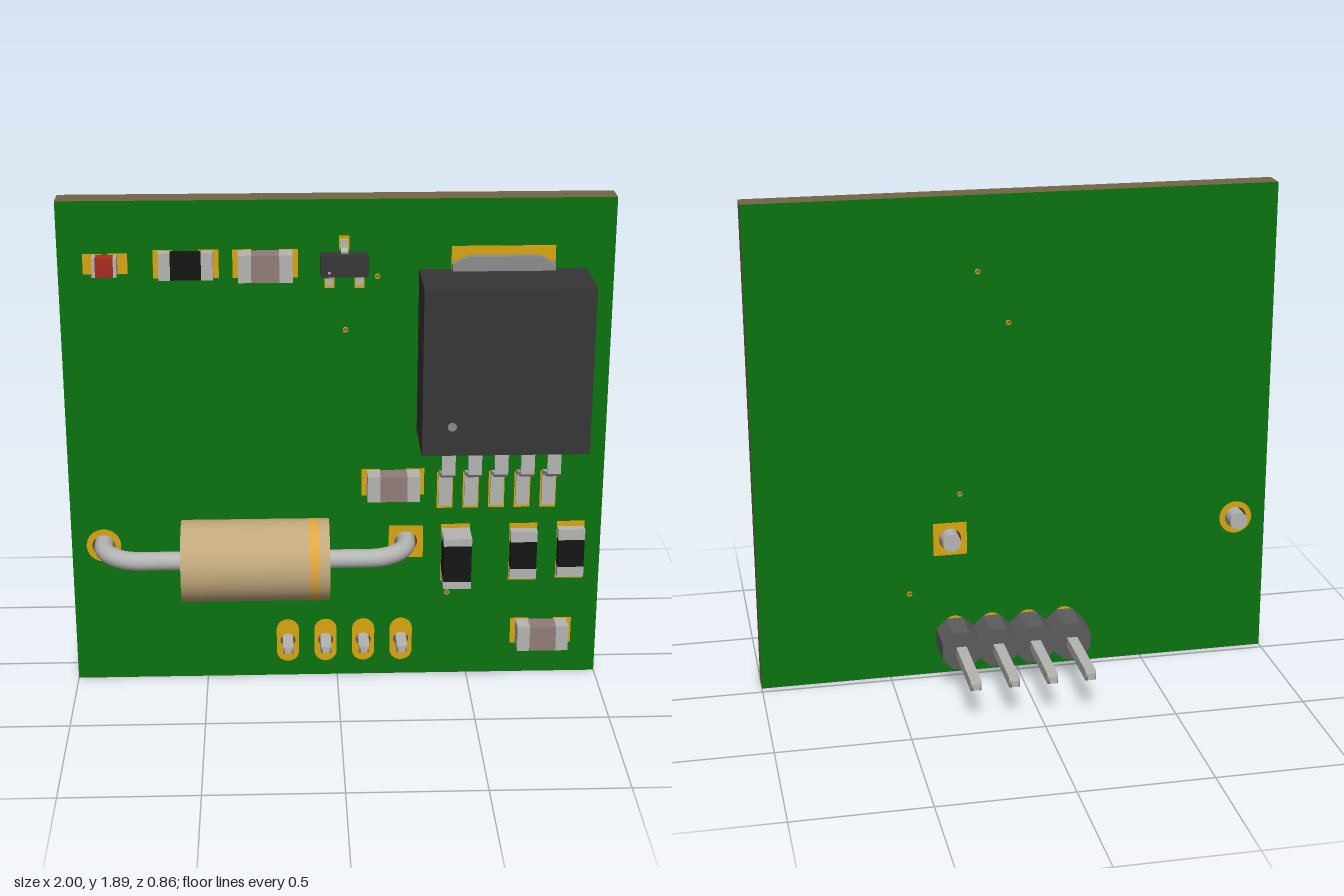
import * as THREE from 'three';

const mat = (color) => new THREE.MeshStandardMaterial({ color });
const GREEN = mat(0x0c730f), EDGE = mat(0x746645), GOLD = mat(0xdaa50f), METAL = mat(0xb4b4b2),
  TAB = mat(0x8c8c8c), BLACK = mat(0x151515), CHIP = mat(0x363638), BROWN = mat(0x917c78),
  RED = mat(0xa82c22), TAN = mat(0xc2a87c), BAND = mat(0xe0a640), PLASTIC = mat(0x5c5c5c);

const BACK = 0.03, FACE = 0.125, PAD = 0.004;

export function createModel() {
  const root = new THREE.Group();

  const add = (name, geo, material, x = 0, y = 0, z = 0, parent = root) => {
    const m = new THREE.Mesh(geo, material);
    m.name = name;
    m.position.set(x, y, z);
    parent.add(m);
    return m;
  };
  // box given by its centre in x/y and its z range
  const block = (name, material, x, y, w, h, z0, z1, parent = root) =>
    add(name, new THREE.BoxGeometry(w, h, z1 - z0), material, x, y, (z0 + z1) / 2, parent);
  const circle = (x, y, r) => new THREE.Path().absarc(x, y, r, 0, Math.PI * 2, true);
  const polygon = (pts) => new THREE.Shape(pts.map(([x, y]) => new THREE.Vector2(x, y)));
  const extrude = (shape, depth) =>
    new THREE.ExtrudeGeometry(shape, { depth, bevelEnabled: false, curveSegments: 16 });
  const rect = (w, h) => polygon([[-w / 2, -h / 2], [w / 2, -h / 2], [w / 2, h / 2], [-w / 2, h / 2]]);

  const pinXs = [-0.19, -0.045, 0.1, 0.245], pinY = 0.15;
  const leadXs = [-0.88, 0.26], leadY = 0.56;
  const vias = [[0.145, 1.605], [0.03, 1.405], [0.22, 0.74], [0.42, 0.345]];

  // Board with drilled holes
  const boardShape = polygon([[-1, 0], [1, 0], [1, 1.89], [-1, 1.89]]);
  pinXs.forEach((x) => boardShape.holes.push(circle(x, pinY, 0.029)));
  leadXs.forEach((x) => boardShape.holes.push(circle(x, leadY, 0.043)));
  vias.forEach(([x, y]) => boardShape.holes.push(circle(x, y, 0.007)));
  add('board', extrude(boardShape, FACE - BACK), [GREEN, EDGE], 0, 0, BACK);

  // Plated pads on both sides of every drilled hole
  const plated = (name, shape, hole, x, y) => {
    shape.holes.push(circle(0, 0, hole));
    const geo = extrude(shape, PAD);
    add(name + 'Front', geo, GOLD, x, y, FACE);
    add(name + 'Back', geo, GOLD, x, y, BACK - PAD);
  };
  const disc = (r) => new THREE.Shape().absarc(0, 0, r, 0, Math.PI * 2, false);
  pinXs.forEach((x) => {
    const slot = new THREE.Shape();
    slot.absarc(0, 0.045, 0.043, 0, Math.PI, false);
    slot.absarc(0, -0.045, 0.043, Math.PI, Math.PI * 2, false);
    plated('pinPad', slot, 0.029, x, pinY);
  });
  plated('roundLeadPad', disc(0.065), 0.043, leadXs[0], leadY);
  plated('squareLeadPad', rect(0.13, 0.13), 0.043, leadXs[1], leadY);
  vias.forEach(([x, y]) => plated('via', disc(0.01), 0.007, x, y));

  // Axial diode: body, band and one bent lead through both holes
  const lying = (r, len, open = false) =>
    new THREE.CylinderGeometry(r, r, len, 40, 1, open).rotateZ(Math.PI / 2);
  const axisZ = 0.275;
  add('diodeBody', lying(0.152, 0.545), TAN, -0.3075, leadY, axisZ);
  add('diodeBand', lying(0.153, 0.035, true), BAND, -0.092, leadY, axisZ);
  const v = (x, z) => new THREE.Vector3(x, leadY, z);
  const lead = (x, dir, end) => {
    const path = new THREE.CurvePath();
    path.add(new THREE.LineCurve3(v(x, -0.02), v(x, 0.13)));
    path.add(new THREE.CubicBezierCurve3(v(x, 0.13), v(x, 0.21),
      v(x + dir * 0.065, axisZ), v(x + dir * 0.15, axisZ)));
    path.add(new THREE.LineCurve3(v(x + dir * 0.15, axisZ), v(end, axisZ)));
    add('diodeLead', new THREE.TubeGeometry(path, 48, 0.035, 18), METAL);
    add('diodeLeadEnd', new THREE.CircleGeometry(0.035, 18).rotateY(Math.PI), METAL, x, leadY, -0.02);
  };
  lead(leadXs[0], 1, -0.55);
  lead(leadXs[1], -1, -0.06);

  // Power regulator: package, tab, pads and five stepped pins
  block('regulatorBody', CHIP, 0.597, 1.32, 0.605, 0.62, FACE + 0.002, 0.385);
  const dot = new THREE.CylinderGeometry(0.016, 0.016, 0.006, 20).rotateX(Math.PI / 2);
  add('regulatorDot', dot, TAB, 0.402, 1.12, 0.386);
  block('regulatorTabPad', GOLD, 0.598, 1.465, 0.375, 0.5, FACE, FACE + PAD);
  const tab = polygon([[-0.185, -0.4], [0.185, -0.4], [0.185, 0.035], [0.125, 0.063], [-0.125, 0.063], [-0.185, 0.035]]);
  add('regulatorTab', extrude(tab, 0.032), TAB, 0.598, 1.62, FACE + PAD);
  // pin side profile as (z, y)
  const pinProfile = polygon([[0.265, 1.03], [0.265, 0.885], [0.25, 0.87], [0.143, 0.838], [0.143, 0.712],
    [0.131, 0.712], [0.131, 0.85], [0.24, 0.882], [0.253, 0.892], [0.253, 1.03]].reverse());
  const pinGeo = extrude(pinProfile, 0.05).rotateY(-Math.PI / 2).scale(1, 1, 1).translate(0.025, 0, 0);
  for (let i = 0; i < 5; i++) {
    const x = 0.404 + i * 0.097;
    block('regulatorPinPad', GOLD, x, 0.77, 0.06, 0.145, FACE, FACE + PAD);
    add('regulatorPin', pinGeo, METAL, x);
  }

  // Two-terminal chips: pads, end caps and body, laid along x then turned
  const chip = (name, { x, y, w = 0.235, h = 0.105, len = 0.195, core = 0.11, top, body, turned }) => {
    const g = new THREE.Group();
    g.name = name;
    const capW = (len - core) / 2;
    for (const s of [-1, 1]) {
      block('pad', GOLD, s * (w / 2 - 0.035), 0, 0.07, h, FACE, FACE + PAD, g);
      block('endCap', METAL, s * (core + capW) / 2, 0, capW, h - 0.004, FACE + PAD, top - 0.002, g);
    }
    block('body', body, 0, 0, core, h - 0.006, FACE + PAD, top, g);
    g.position.set(x, y, 0);
    if (turned) g.rotation.z = Math.PI / 2;
    root.add(g);
  };
  const cap = { core: 0.1, top: 0.205, body: BROWN };
  const resistor = { top: 0.167, body: BLACK };
  chip('led', { x: -0.83, y: 1.66, w: 0.16, h: 0.075, len: 0.088, core: 0.064, top: 0.182, body: RED });
  chip('topResistor', { ...resistor, x: -0.542, y: 1.657 });
  chip('topCapacitor', { ...cap, x: -0.258, y: 1.657 });
  chip('middleCapacitor', { ...cap, x: 0.208, y: 0.805 });
  chip('lowerCapacitor', { ...cap, x: 0.785, y: 0.178 });
  chip('tallResistor', { x: 0.448, y: 0.512, h: 0.11, len: 0.205, core: 0.145, top: 0.237, body: BLACK, turned: true });
  chip('innerResistor', { ...resistor, x: 0.705, y: 0.512, turned: true });
  chip('outerResistor', { ...resistor, x: 0.885, y: 0.518, turned: true });

  // Small three-legged transistor
  block('transistorBody', CHIP, 0.025, 1.66, 0.17, 0.08, FACE + 0.012, 0.19);
  for (const [x, s] of [[0.025, 1], [-0.028, -1], [0.08, -1]]) {
    block('transistorPad', GOLD, x, 1.66 + s * 0.072, 0.037, 0.05, FACE, FACE + PAD);
    block('transistorFoot', METAL, x, 1.66 + s * 0.07, 0.026, 0.03, FACE + PAD, FACE + 0.014);
    const leg = block('transistorLeg', METAL, x, 1.66 + s * 0.048, 0.026, 0.012, FACE + PAD, 0.168);
    leg.rotation.x = s * 0.3;
  }
  add('transistorDot', new THREE.CircleGeometry(0.005, 12), METAL, -0.03, 1.637, 0.191);

  // Pin header on the back: notched plastic cells with tapered square pins
  const c = 0.04, hw = 0.0725, hh = 0.075;
  const cell = polygon([[-hw, -hh + c], [-hw + c, -hh], [hw - c, -hh], [hw, -hh + c],
    [hw, hh - c], [hw - c, hh], [-hw + c, hh], [-hw, hh - c]]);
  const cellGeo = extrude(cell, 0.142);
  const tip = new THREE.CylinderGeometry(0.018, 0.0283, 0.015, 4).rotateY(Math.PI / 4).rotateX(Math.PI / 2);
  const tipBack = tip.clone().rotateY(Math.PI);
  for (const x of pinXs) {
    add('headerCell', cellGeo, PLASTIC, x, pinY + 0.004, -0.115);
    block('headerPin', METAL, x, pinY, 0.04, 0.04, -0.415, 0.2);
    add('headerPinFrontTip', tip, METAL, x, pinY, 0.2075);
    add('headerPinBackTip', tipBack, METAL, x, pinY, -0.4225);
  }

  return root;
}
